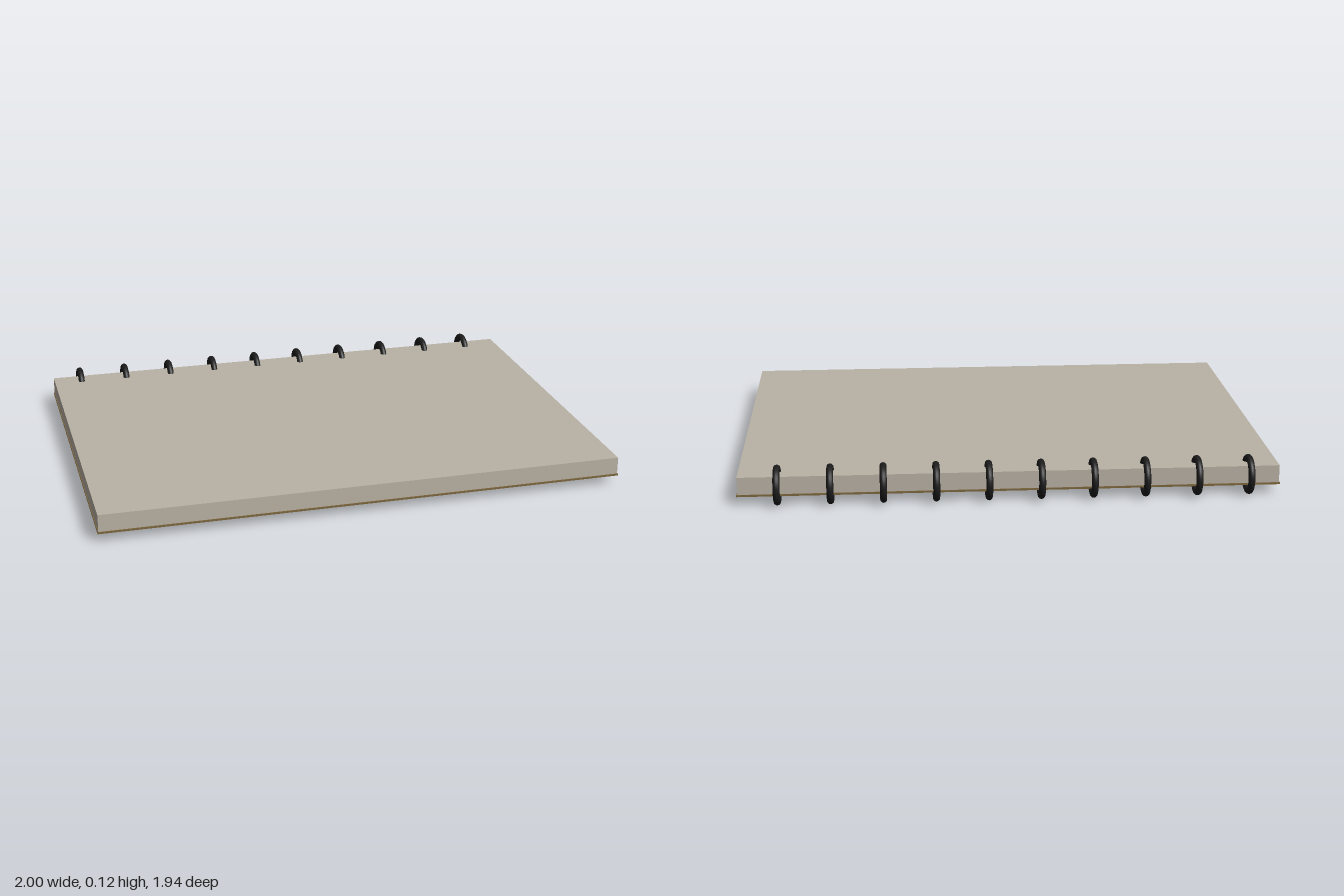
import * as THREE from 'three';

const paper = new THREE.MeshStandardMaterial({ color: 0xbab2a5 });
paper.name = 'warm grey paper';
const board = new THREE.MeshStandardMaterial({ color: 0x7e683e });
board.name = 'brown backing board';
const wire = new THREE.MeshStandardMaterial({ color: 0x1c1c1c });
wire.name = 'black wire';

const WIDTH = 1.638, DEPTH = 1.157; // binding runs along the long rear edge
const RINGS = 10, SPACING = 0.158;

function slab(name, width, depth, bottom, top, material) {
  const mesh = new THREE.Mesh(new THREE.BoxGeometry(width, top - bottom, depth), material);
  mesh.name = name;
  mesh.position.y = (bottom + top) / 2;
  return mesh;
}

export function createModel() {
  const notebook = new THREE.Group();
  notebook.name = 'spiralNotebook';

  // Stack of pages on a slightly larger backing board
  notebook.add(slab('pages', WIDTH - 0.005, DEPTH - 0.005, 0.036, 0.09, paper));
  notebook.add(slab('backCover', WIDTH, DEPTH, 0.03, 0.036, board));

  // Binding rings standing across the rear edge
  const binding = new THREE.Group();
  binding.name = 'binding';
  const ringGeometry = new THREE.TorusGeometry(0.0505, 0.0105, 12, 40);
  for (let i = 0; i < RINGS; i++) {
    const ring = new THREE.Mesh(ringGeometry, wire);
    ring.name = `ring${i + 1}`;
    ring.rotation.y = Math.PI / 2;
    ring.position.set(-0.013 + (i - (RINGS - 1) / 2) * SPACING, 0.061, -DEPTH / 2 + 0.013);
    binding.add(ring);
  }
  notebook.add(binding);

  // The notebook lies turned on the ground
  notebook.rotation.y = THREE.MathUtils.degToRad(40);
  const model = new THREE.Group();
  model.name = 'model';
  model.add(notebook);
  return model;
}
